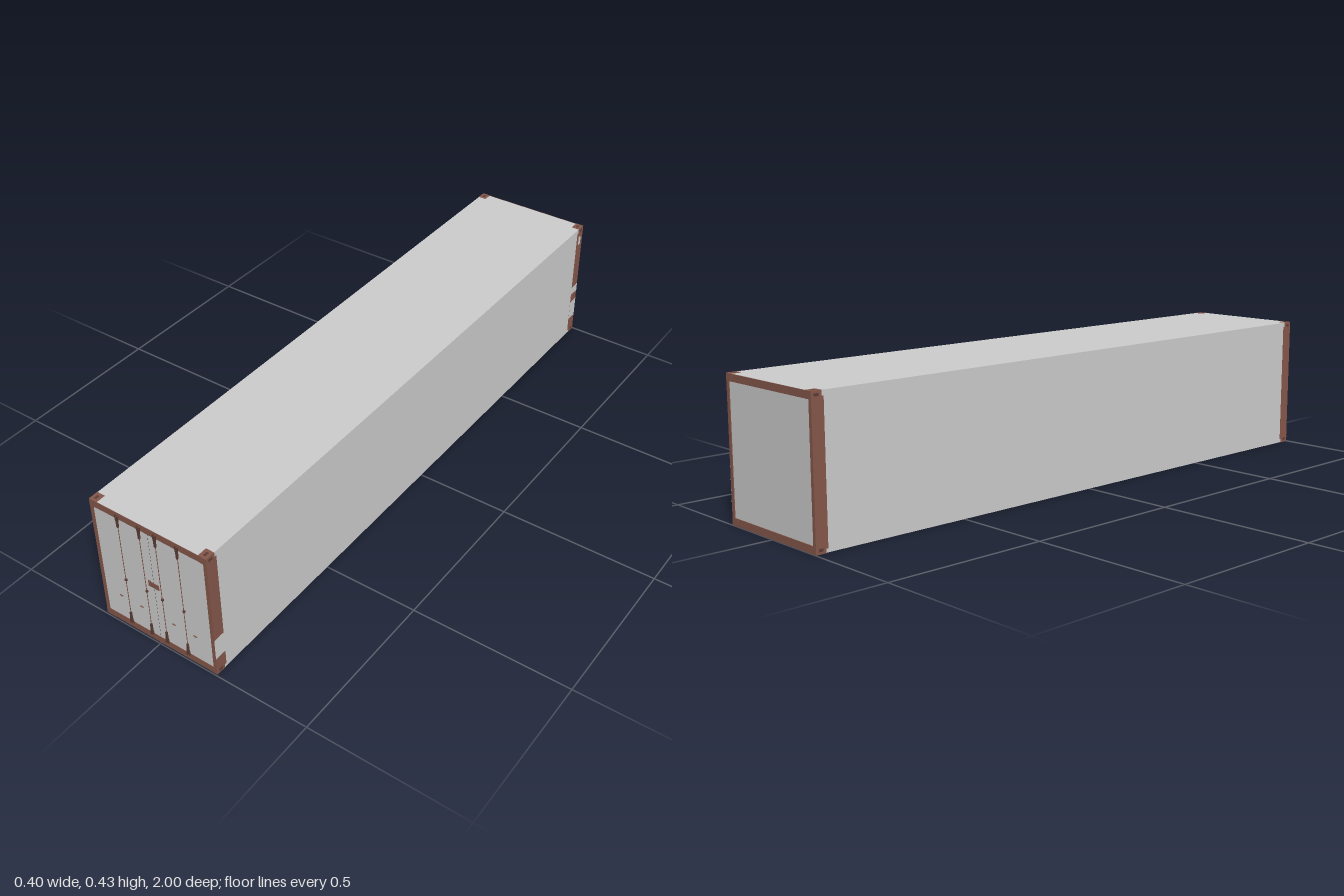
import * as THREE from 'three';

const grey = new THREE.MeshStandardMaterial({ color: 0xcccccc });
const brown = new THREE.MeshStandardMaterial({ color: 0x85574a });
const dark = new THREE.MeshStandardMaterial({ color: 0x5a3c34 });

// Box given by its minimum and maximum corners
function box(parent, name, mat, [x0, y0, z0], [x1, y1, z1]) {
  const m = new THREE.Mesh(new THREE.BoxGeometry(x1 - x0, y1 - y0, z1 - z0), mat);
  m.position.set((x0 + x1) / 2, (y0 + y1) / 2, (z0 + z1) / 2);
  m.name = name;
  parent.add(m);
  return m;
}

// Box centred on a point
function block(parent, name, mat, x, y, z, w, h, d) {
  return box(parent, name, mat, [x - w / 2, y - h / 2, z - d / 2], [x + w / 2, y + h / 2, z + d / 2]);
}

// Tapered bracket that holds the end of a locking bar; dir is +1 for the top one
function lockCam(parent, x, y, dir) {
  const s = new THREE.Shape([
    [-0.0025, -0.022], [0.0025, -0.022], [0.003, 0], [0.006, 0.018], [0.003, 0.021],
    [0.001, 0.012], [-0.001, 0.012], [-0.003, 0.021], [-0.006, 0.018], [-0.003, 0],
  ].map(([a, b]) => new THREE.Vector2(a, b)));
  const m = new THREE.Mesh(new THREE.ExtrudeGeometry(s, { depth: 0.005, bevelEnabled: false }), dark);
  m.position.set(x, y, 0.995);
  if (dir < 0) {
    m.rotation.z = Math.PI;
  }
  m.name = 'lockCam';
  parent.add(m);
}

export function createModel() {
  const root = new THREE.Group();
  root.name = 'cargoContainer';

  box(root, 'body', grey, [-0.1995, 0.001, -0.996], [0.1995, 0.4245, 0.994]);

  // End frames: posts, rails and corner castings
  for (const sz of [1, -1]) {
    const frame = new THREE.Group();
    frame.name = sz > 0 ? 'frontFrame' : 'backFrame';
    root.add(frame);
    const zOut = sz > 0 ? 0.9955 : 0.9985;
    const span = (depth) => (sz > 0 ? [zOut - depth, zOut] : [-zOut, -zOut + depth]);
    const [p0, p1] = span(0.038);
    const [r0, r1] = span(0.02);
    box(frame, 'topRail', brown, [-0.1985, 0.403, r0], [0.1985, 0.4242, r1]);
    box(frame, 'bottomRail', brown, [-0.1985, 0, r0], [0.1985, 0.022, r1]);
    for (const sx of [1, -1]) {
      block(frame, 'cornerPost', brown, sx * 0.194, 0.211, (p0 + p1) / 2, 0.0118, 0.398, p1 - p0);
      for (const top of [true, false]) {
        const y = top ? 0.414 : 0.011;
        const c = sz * (zOut - 0.0155);
        block(frame, 'cornerCasting', brown, sx * 0.1865, y, c, 0.027, 0.022, 0.032);
        // Lifting slots on the outer faces of the casting
        block(frame, 'sideSlot', dark, sx * 0.1998, y, c, 0.0008, 0.008, 0.014);
        block(frame, 'liftSlot', dark, sx * 0.1865, top ? 0.4248 : 0.0004, c, 0.008, 0.0006, 0.014);
      }
    }
    // Pale patches on the left posts
    const patches = sz > 0
      ? [[0.06, 0.13, 0.038]]
      : [[0.06, 0.13, 0.038], [0.163, 0.192, 0.038], [0.36, 0.392, 0.014]];
    for (const [y0, y1, w] of patches) {
      block(frame, 'postPatch', grey, 0.1999, (y0 + y1) / 2, (p0 + p1) / 2, 0.0006, y1 - y0, w);
    }
  }

  // Door hardware
  const door = new THREE.Group();
  door.name = 'doorHardware';
  root.add(door);
  for (const x of [-0.103, -0.028, 0.027, 0.102]) {
    const bar = new THREE.Mesh(new THREE.CylinderGeometry(0.001, 0.001, 0.37, 8), brown);
    bar.position.set(x, 0.214, 0.997);
    bar.name = 'lockBar';
    door.add(bar);
    lockCam(door, x, 0.397, 1);
    lockCam(door, x, 0.038, -1);
    block(door, 'barGuide', dark, x, 0.183, 0.9965, 0.0065, 0.006, 0.005);
  }
  for (const x of [-0.132, -0.058, 0.057, 0.132]) {
    block(door, 'handleCatch', brown, x, 0.1055, 0.995, 0.012, 0.0015, 0.003);
    block(door, 'handlePin', brown, x, 0.1055, 0.995, 0.004, 0.003, 0.004);
  }
  box(door, 'doorPlate', brown, [-0.019, 0.209, 0.993], [0.018, 0.2265, 0.9955]);
  box(door, 'plateTab', brown, [-0.019, 0.2285, 0.993], [-0.01, 0.2295, 0.9955]);

  // Gap between the two door leaves
  box(door, 'doorSeam', dark, [-0.0003, 0.022, 0.993], [0.0003, 0.403, 0.9942]);
  return root;
}
